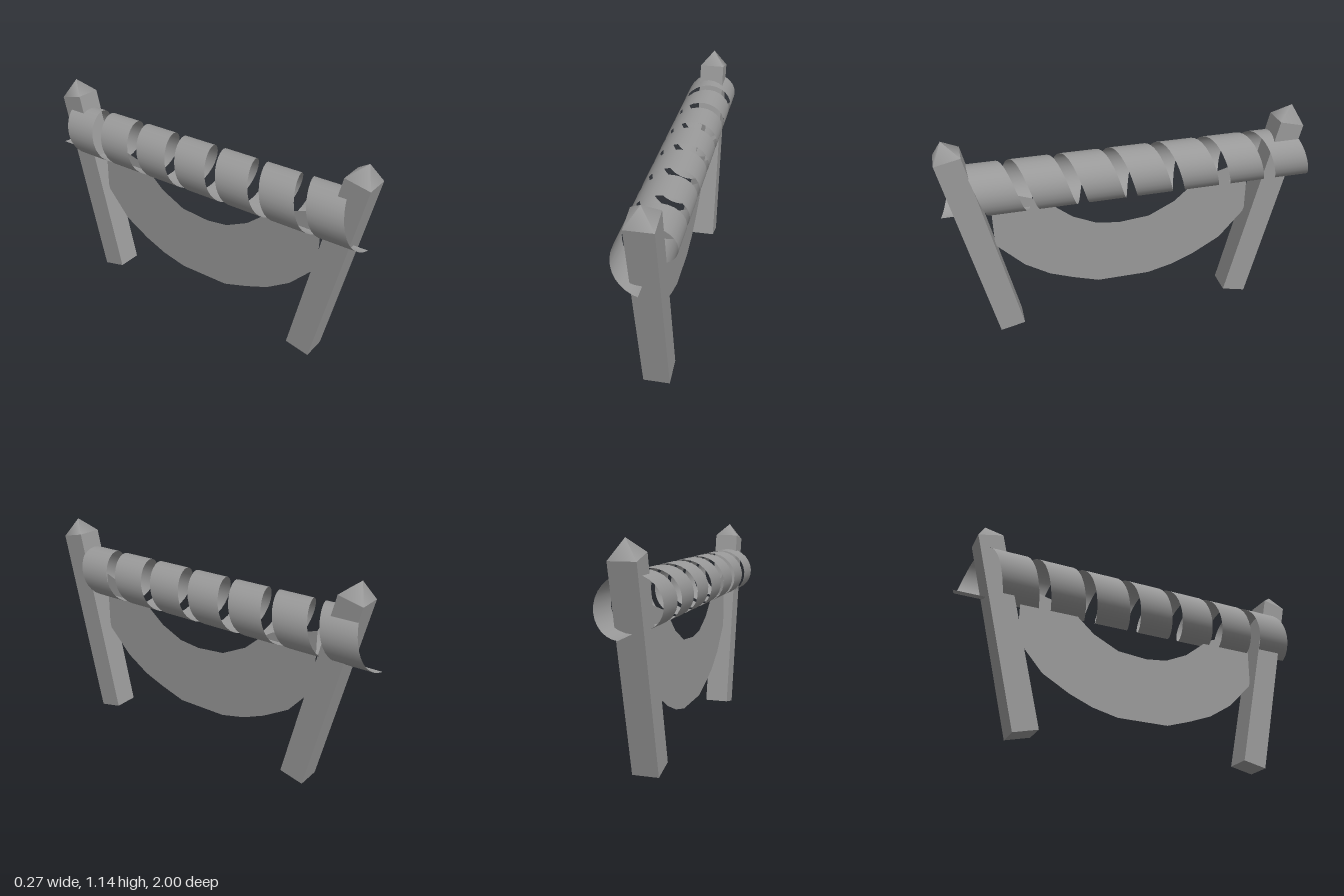
import * as THREE from 'three';

const grey = new THREE.MeshStandardMaterial({ color: 0x999999, side: THREE.DoubleSide });
grey.name = 'grey';

function addMesh(parent, geometry, name) {
  const mesh = new THREE.Mesh(geometry, grey);
  mesh.name = name;
  parent.add(mesh);
  return mesh;
}

// Open spiral band winding around the z axis, starting and ending at the bottom
function spiralGeometry(radius, turns, pitch, width, segments) {
  const geometry = new THREE.PlaneGeometry(1, 1, turns * segments, 1);
  const pos = geometry.attributes.position;
  const normal = geometry.attributes.normal;
  for (let i = 0; i < pos.count; i++) {
    const t = (pos.getX(i) + 0.5) * turns;
    const a = t * Math.PI * 2;
    const nx = -Math.sin(a), ny = -Math.cos(a);
    const z = 1 - t * pitch - (pos.getY(i) < 0 ? 0 : width);
    pos.setXYZ(i, nx * radius, ny * radius, z);
    normal.setXYZ(i, nx, ny, 0);
  }
  // Keep the outside of the band as its front
  const index = geometry.index;
  const [a, b, c] = [0, 1, 2].map(k => new THREE.Vector3().fromBufferAttribute(pos, index.getX(k)));
  const face = b.clone().sub(a).cross(c.clone().sub(a));
  if (face.dot(new THREE.Vector3(a.x, a.y, 0)) < 0) {
    for (let k = 0; k < index.count; k += 3) {
      const v = index.getX(k + 1);
      index.setX(k + 1, index.getX(k + 2));
      index.setX(k + 2, v);
    }
  }
  return geometry;
}

// Leaning square post with a pointed cap, its origin at the foot
function makePost(name, z, tilt, length) {
  const post = new THREE.Group();
  post.name = name;
  const side = 0.135, capHeight = 0.085;
  addMesh(post, new THREE.BoxGeometry(side, length, side).translate(0, length / 2, 0), 'shaft');
  const cap = new THREE.ConeGeometry(side * Math.SQRT1_2, capHeight, 4, 1, true);
  cap.rotateY(Math.PI / 4).translate(0, length + capHeight / 2, 0);
  addMesh(post, cap, 'pointedCap');
  post.position.set(0.0125, 0.018, z);
  post.rotation.x = tilt;
  return post;
}

export function createModel() {
  const model = new THREE.Group();
  model.name = 'spiralBeamOnPosts';

  model.add(makePost('frontPost', 0.705, 0.214, 1.064));
  model.add(makePost('backPost', -0.593, -0.241, 1.064));

  const spiral = addMesh(model, spiralGeometry(0.135, 7, 0.258, 0.193, 28), 'spiralBand');
  spiral.position.y = 0.85;

  // Flat crescent sheet hanging under the spiral, outlined as (z, y)
  const outline = [
    [0.75, 0.84], [0.748, 0.51], [0.603, 0.36], [0.47, 0.275], [0.34, 0.225], [0.2, 0.18],
    [-0.09, 0.18], [-0.233, 0.214], [-0.36, 0.267], [-0.51, 0.353], [-0.65, 0.513], [-0.65, 0.83],
    [-0.4, 0.76], [-0.33, 0.715], [-0.233, 0.63], [-0.09, 0.56], [0.077, 0.545], [0.2, 0.56],
    [0.33, 0.62], [0.447, 0.715], [0.49, 0.745],
  ].map(([z, y]) => new THREE.Vector2(-z, y));
  const sheet = new THREE.ShapeGeometry(new THREE.Shape(outline)).rotateY(Math.PI / 2);
  addMesh(model, sheet, 'hangingSheet');

  return model;
}
